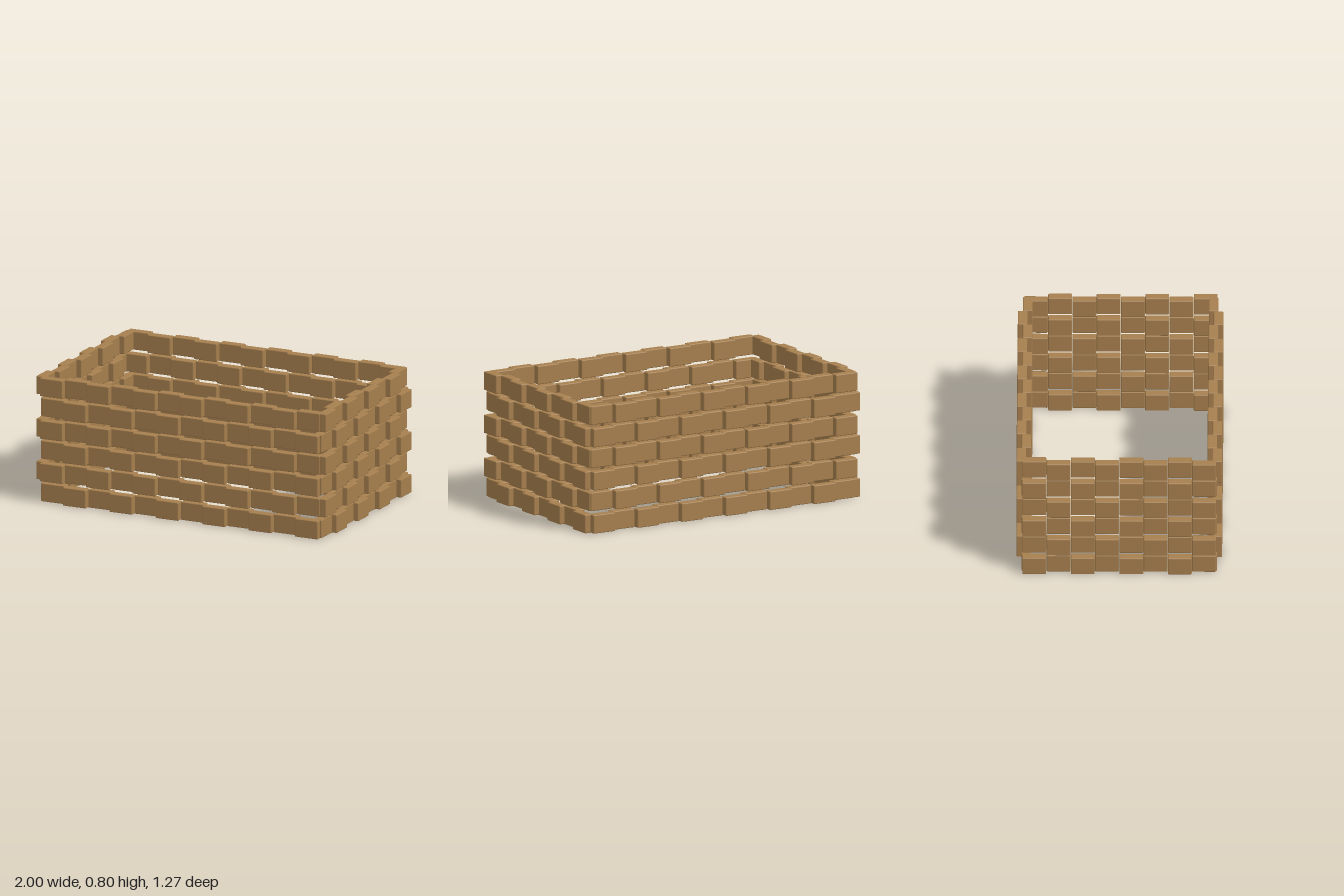
import * as THREE from 'three';
import { RoundedBoxGeometry } from 'three/addons/geometries/RoundedBoxGeometry.js';

const ROWS = 6, PITCH = 0.1366, HEIGHT = 0.117; // stacked woven bands
const THICK = 0.06, WEAVE = 0.0155;             // block depth, in/out shift

export function createModel() {
  const basket = new THREE.Group();
  basket.name = 'wovenBasket';
  const wicker = new THREE.MeshStandardMaterial({ color: 0xa67f4e });
  wicker.name = 'wicker brown';

  // One wall: rows of blocks alternating outward and inward like a weave
  function wall(name, count, length, distance, alongX, side) {
    const group = new THREE.Group();
    group.name = name;
    const step = length / count;
    const block = alongX
      ? new RoundedBoxGeometry(step - 0.002, HEIGHT, THICK, 1, 0.006)
      : new RoundedBoxGeometry(THICK, HEIGHT, step - 0.002, 1, 0.006);
    for (let r = 0; r < ROWS; r++) {
      const band = new THREE.Group();
      band.name = name + 'Band' + (r + 1);
      for (let i = 0; i < count; i++) {
        // Long walls start inward on the bottom row, short walls outward
        const outward = (i + r + (alongX ? 1 : 0)) % 2 === 0;
        const depth = side * (distance + (outward ? WEAVE : -WEAVE));
        const along = -length / 2 + step * (i + 0.5);
        const strip = new THREE.Mesh(block, wicker);
        strip.name = 'wickerBlock';
        strip.position.set(alongX ? along : depth, HEIGHT / 2 + r * PITCH, alongX ? depth : along);
        band.add(strip);
      }
      group.add(band);
    }
    basket.add(group);
  }

  wall('frontWall', 12, 1.92, 0.59, true, 1);
  wall('backWall', 12, 1.92, 0.59, true, -1);
  wall('leftWall', 8, 1.2, 0.9545, false, 1);
  wall('rightWall', 8, 1.2, 0.9545, false, -1);
  return basket;
}
